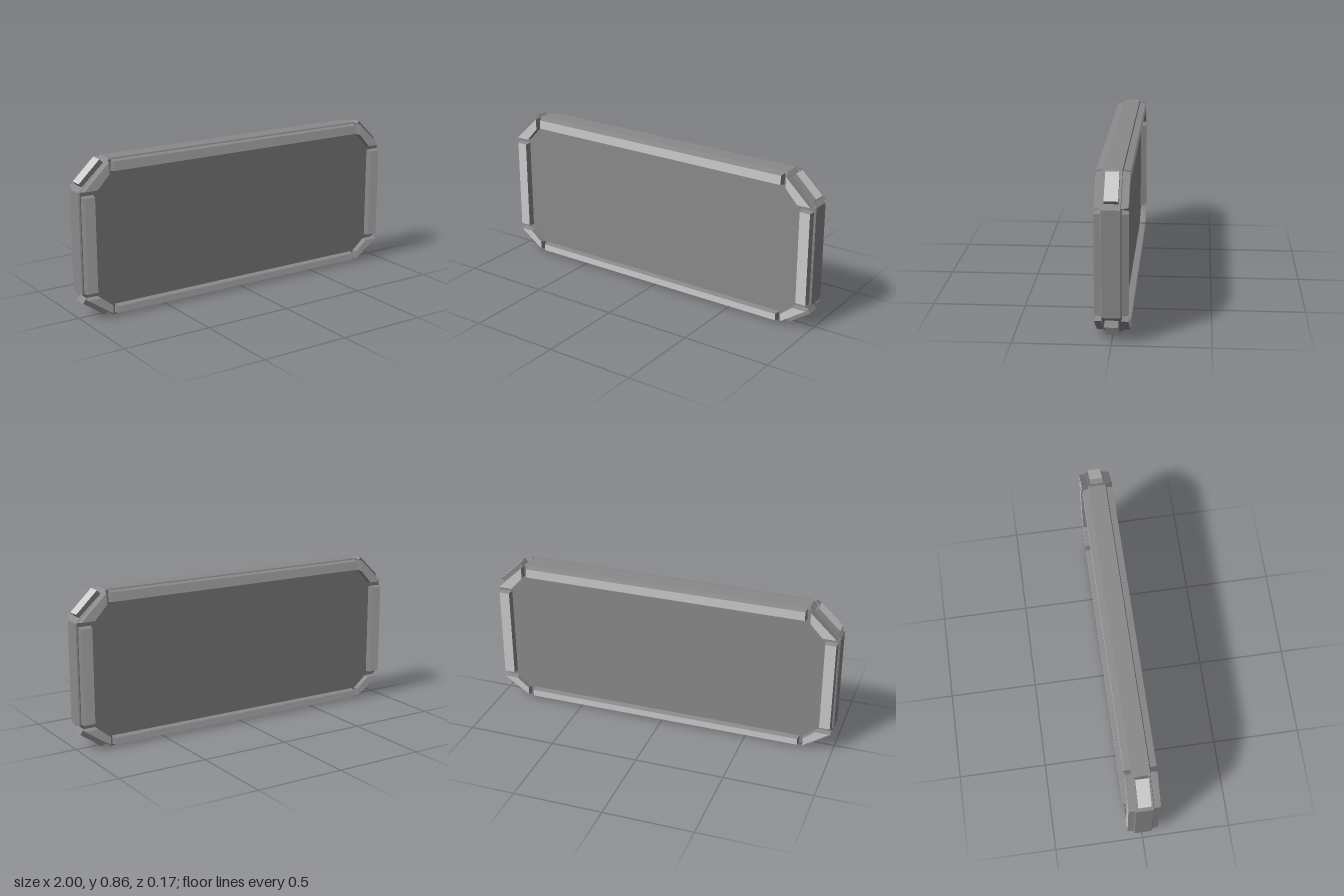
import * as THREE from 'three';

const light = new THREE.MeshStandardMaterial({ color: 0xcccccc, flatShading: true });
const dark = new THREE.MeshStandardMaterial({ color: 0x8a8a8a, flatShading: true });

const shapeOf = (points) => new THREE.Shape(points.map(([x, y]) => new THREE.Vector2(x, y)));

function addMesh(parent, geometry, material, name) {
  const mesh = new THREE.Mesh(geometry, material);
  mesh.name = name;
  parent.add(mesh);
  return mesh;
}

// Raised strip with a light face and dark sides, drawn in slightly towards its face
function addStrip(parent, points, name, base = 0.049, top = 0.085, inset = 0.005) {
  const geometry = new THREE.ExtrudeGeometry(shapeOf(points), { depth: top - base, bevelEnabled: false });
  geometry.translate(0, 0, base);
  geometry.computeBoundingBox();
  const centre = geometry.boundingBox.getCenter(new THREE.Vector3());
  const p = geometry.attributes.position;
  for (let i = 0; i < p.count; i++) {
    if (p.getZ(i) < centre.z) continue;
    p.setX(i, p.getX(i) - Math.sign(p.getX(i) - centre.x) * inset);
    p.setY(i, p.getY(i) - Math.sign(p.getY(i) - centre.y) * inset);
  }
  geometry.computeVertexNormals();
  addMesh(parent, geometry, [light, dark], name);
}

const rect = (x0, x1, y0, y1) => [[x0, y0], [x1, y0], [x1, y1], [x0, y1]];
const mirrorX = (points) => points.map(([x, y]) => [-x, y]).reverse();

export function createModel() {
  const model = new THREE.Group();
  model.name = 'framedPanel';

  // Eight-sided slab with slightly bevelled edges
  const half = [[0.82, 0.002], [0.998, 0.145], [0.998, 0.7], [0.82, 0.86]];
  const body = new THREE.ExtrudeGeometry(shapeOf([...half, ...mirrorX(half)]), {
    depth: 0.094, bevelThickness: 0.004, bevelSize: 0.007, bevelOffset: -0.007, bevelSegments: 1,
  });
  body.translate(0, 0, -0.047);
  addMesh(model, body, dark, 'panelBody');

  // Frame strips, the same on front and back
  const sideStrips = {
    SideStrip: rect(0.917, 0.987, 0.15, 0.68),
    UpperCornerStrip: [[0.91, 0.704], [0.987, 0.704], [0.83, 0.853], [0.83, 0.79]],
    LowerCornerStrip: [[0.83, 0.015], [0.987, 0.126], [0.91, 0.126], [0.83, 0.06]],
  };
  for (const [faceName, angle] of [['front', 0], ['back', Math.PI]]) {
    const face = new THREE.Group();
    face.name = faceName + 'Frame';
    face.rotation.y = angle;
    addStrip(face, rect(-0.81, 0.81, 0.792, 0.853), 'topStrip');
    addStrip(face, rect(-0.81, 0.81, 0.012, 0.06), 'bottomStrip');
    for (const [name, points] of Object.entries(sideStrips)) {
      addStrip(face, points, 'left' + name);
      addStrip(face, mirrorX(points), 'right' + name);
    }
    model.add(face);
  }

  // Small blocks standing on the cut corners, with only the outer face light
  const blocks = [
    { name: 'UpperCornerBlock', x: 0.9265, y: 0.8, angle: 0.814, length: 0.169, thick: 0.05 },
    { name: 'LowerCornerBlock', x: 0.924, y: 0.046, angle: -0.958, length: 0.156, thick: 0.054 },
  ];
  const blockMaterials = [light, dark, dark, dark, dark, dark];
  for (const { name, x, y, angle, length, thick } of blocks) {
    for (const [side, sign] of [['left', 1], ['right', -1]]) {
      const geometry = new THREE.BoxGeometry(thick, length, 0.07);
      geometry.translate(-thick / 2, 0, 0);
      const block = addMesh(model, geometry, blockMaterials, side + name);
      block.position.set(sign * x, y, 0);
      block.rotation.z = sign > 0 ? angle : Math.PI - angle;
    }
  }

  return model;
}
